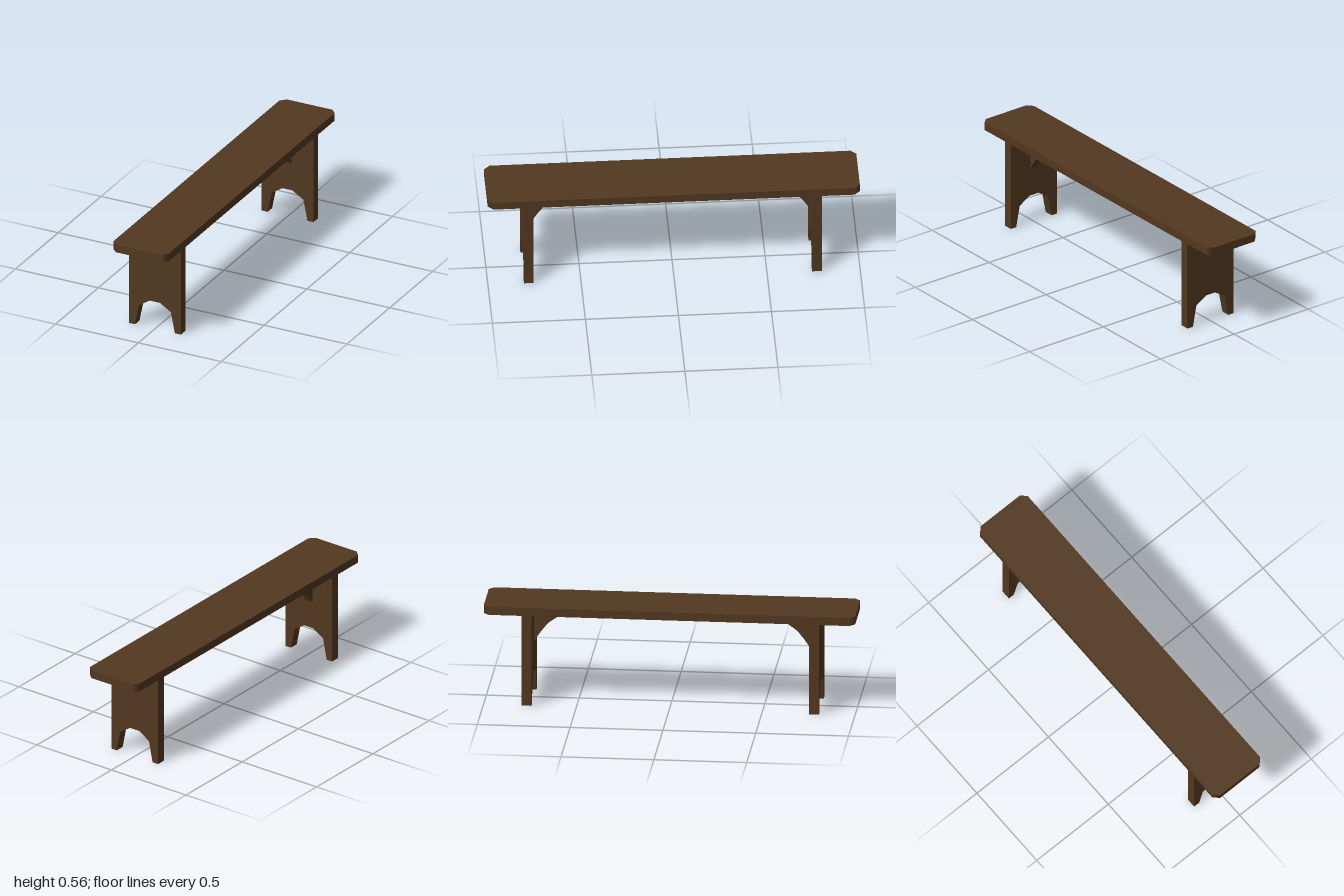
import * as THREE from 'three';

const wood = new THREE.MeshStandardMaterial({ color: 0x523820 });

// Extrudes an outline, centred on its depth
function slab(points, depth) {
  const shape = new THREE.Shape(points.map(([x, y]) => new THREE.Vector2(x, y)));
  return new THREE.ExtrudeGeometry(shape, { depth, bevelEnabled: false }).translate(0, 0, -depth / 2);
}

function part(name, geometry) {
  const mesh = new THREE.Mesh(geometry, wood);
  mesh.name = name;
  return mesh;
}

// Plank with clipped corners, shaded as if rounded
function seatGeometry() {
  const w = 0.167, l = 1, c = 0.03;
  const geo = slab([
    [w, c - l], [w, l - c], [w - c, l], [c - w, l],
    [-w, l - c], [-w, c - l], [c - w, -l], [w - c, -l],
  ], 0.045).rotateX(-Math.PI / 2).translate(0, 0.5325, 0);
  const p = geo.attributes.position, n = geo.attributes.normal;
  for (let i = 0; i < n.count; i++) {
    if (Math.abs(n.getY(i)) > 0.5) continue;
    if (Math.abs(p.getZ(i)) > l - c / 2) n.setXYZ(i, 0, 0, Math.sign(p.getZ(i)));
    else n.setXYZ(i, Math.sign(p.getX(i)), 0, 0);
  }
  return geo;
}

export function createModel() {
  const bench = new THREE.Group();
  bench.name = 'bench';
  bench.add(part('seat', seatGeometry()));

  // Board leg with an arched cut-out between two feet
  const half = [[0.03, 0.161], [0.096, 0.12], [0.12, 0], [0.156, 0], [0.156, 0.51]];
  const legOutline = [...half, ...half.map(([x, y]) => [-x, y]).reverse()];
  const legGeo = slab(legOutline, 0.052).translate(0, 0, 0.774);

  // Curved brace between leg and seat
  const braceGeo = slab([
    [0.748, 0.51], [0.536, 0.51], [0.607, 0.473], [0.67, 0.428], [0.71, 0.378], [0.748, 0.32],
  ], 0.05).rotateY(-Math.PI / 2);

  for (const [name, angle] of [['front', 0], ['back', Math.PI]]) {
    const end = new THREE.Group();
    end.name = name + 'Support';
    end.add(part(name + 'Leg', legGeo), part(name + 'Brace', braceGeo));
    end.rotation.y = angle;
    end.position.z = 0.006;
    bench.add(end);
  }
  return bench;
}
